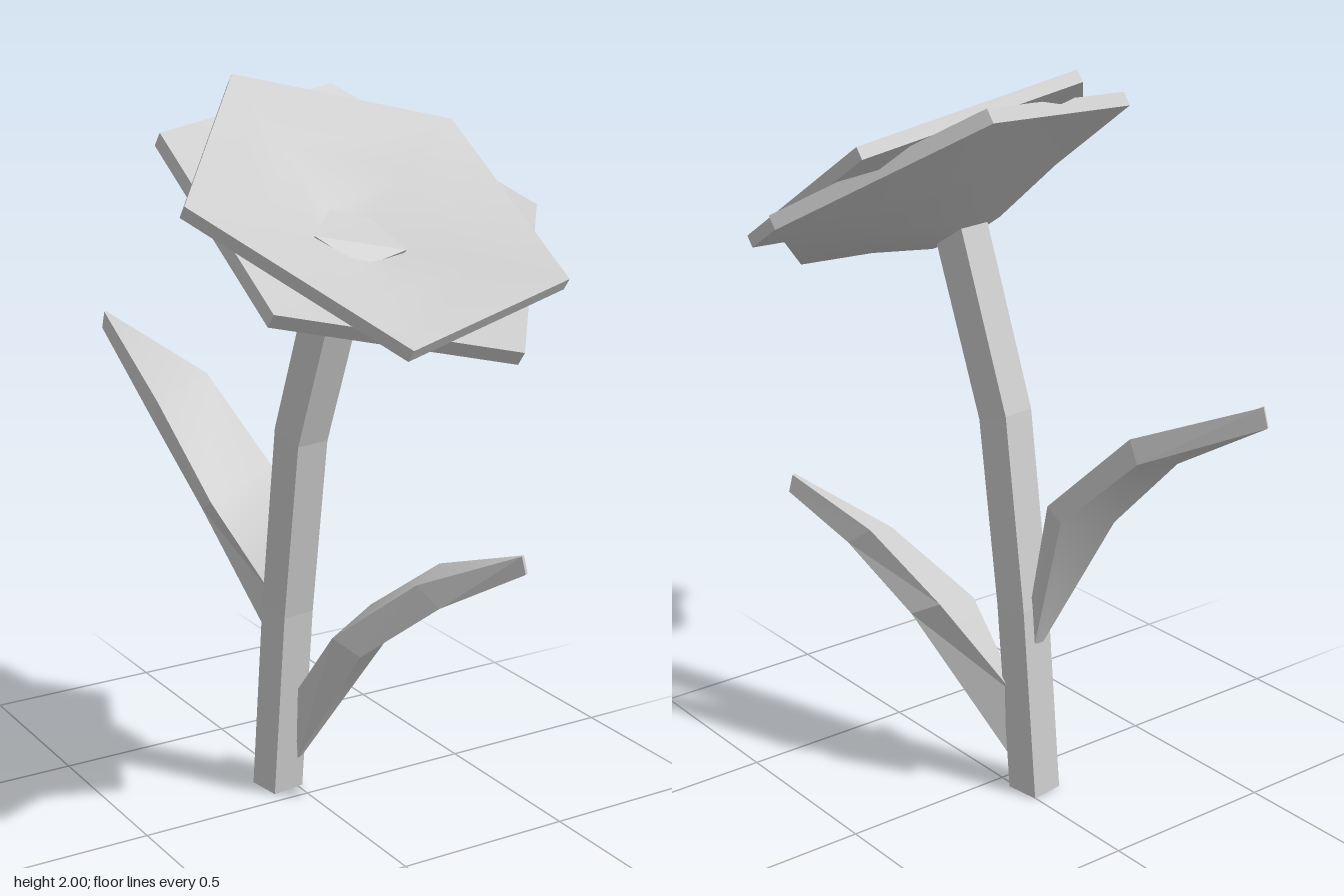
import * as THREE from 'three';
import { mergeGeometries } from 'three/addons/utils/BufferGeometryUtils.js';

const V = (p) => new THREE.Vector3(...p);

// Surface through rows of points; faces point along (row step) x (column step).
function sheet(rows, { closed = false, flat = false, flip = false } = {}) {
  const n = rows[0].length, index = [], spans = closed ? n : n - 1;
  for (let r = 0; r < rows.length - 1; r++) {
    for (let c = 0; c < spans; c++) {
      const a = r * n + c, d = r * n + (c + 1) % n, b = a + n, e = d + n;
      index.push(...(flip ? [a, d, b, d, e, b] : [a, b, d, d, b, e]));
    }
  }
  let g = new THREE.BufferGeometry().setFromPoints(rows.flat());
  g.setIndex(index);
  if (flat) g = g.toNonIndexed();
  g.computeVertexNormals();
  return flat ? g : g.toNonIndexed();
}

// Smooth upper and lower skins joined by a sharp wall around the rim.
function slab(top, bottom, rimOf, closed) {
  return mergeGeometries([
    sheet(top, { closed }),
    sheet(bottom, { closed, flip: true }),
    sheet([rimOf(bottom), rimOf(top)], { closed: true, flat: true }),
  ]);
}

const up = V([0.1, 1, 0.65]).normalize(); // direction the blossom faces

// Five-pointed dish sinking to a small flat middle.
function dish(rim, depth, thickness) {
  const pts = rim.map(V);
  const centre = pts.reduce((s, p) => s.add(p), new THREE.Vector3()).divideScalar(pts.length);
  const ring = (t, sink) => pts.map((p) => centre.clone().lerp(p, t).addScaledVector(up, -sink));
  const skin = (drop) => [[1, 0], [0.55, 0.5], [0.2, 1], [0, 1]].map(([t, d]) => ring(t, d * depth + drop));
  return slab(skin(0), skin(thickness), (s) => s[0], true);
}

// Leaf from cross-sections: [first edge, second edge, offset to the underside].
function leaf(sections) {
  const top = sections.map(([a, b]) => [V(a), V(b)]);
  const bottom = sections.map(([a, b, o]) => [V(a).add(V(o)), V(b).add(V(o))]);
  const rim = (s) => [...s.map((r) => r[1]), ...s.map((r) => r[0]).reverse()];
  return slab(top, bottom, rim, false);
}

// Square stem following a bent centre line, capped at both ends.
function stem(path, half, turn) {
  const corners = [[-1, -1], [1, -1], [1, 1], [-1, 1]];
  const axis = new THREE.Vector3(0, 1, 0);
  const rows = path.map(([x, y, z, tilt]) => corners.map(([cx, cz]) =>
    V([cx * half, 0, cz * half]).applyAxisAngle(axis, turn).add(V([x, y - cz * tilt, z]))));
  const cap = ([x, y, z]) => corners.map(() => V([x, y, z]));
  return sheet([cap(path[0]), ...rows, cap(path[path.length - 1])], { closed: true, flat: true });
}

// Faceted five-cornered centre of the blossom.
function hub(rim) {
  const top = rim.map(V);
  const bottom = top.map((p) => p.clone().addScaledVector(up, -0.04));
  const [a, ...rest] = top;
  return mergeGeometries([
    sheet([rest.map(() => a), rest], { flat: true, flip: true }),
    sheet([bottom, top], { closed: true, flat: true }),
  ]);
}

export function createModel() {
  const group = new THREE.Group();
  const grey = new THREE.MeshStandardMaterial({ color: 0xcccccc });
  grey.name = 'lightGrey';
  const add = (name, geometry) => {
    const mesh = new THREE.Mesh(geometry, grey);
    mesh.name = name;
    group.add(mesh);
  };

  add('stem', stem([
    [-0.04, 0.005, -0.095, 0],
    [-0.035, 0.55, -0.047, 0.005],
    [-0.047, 1.07, 0.047, 0.015],
    [-0.02, 1.56, 0.205, 0.02],
  ], 0.049, 0.14));

  // Blossom: two overlapping dishes and the centre
  add('lowerPetals', dish([
    [-0.44, 1.89, 0.04], [0.16, 1.95, -0.145], [0.53, 1.66, 0.27],
    [0.17, 1.41, 0.72], [-0.44, 1.55, 0.59],
  ], 0.14, 0.04));
  add('upperPetals', dish([
    [-0.165, 2.0, -0.095], [0.42, 1.86, 0.035], [0.42, 1.53, 0.56],
    [-0.165, 1.465, 0.75], [-0.53, 1.765, 0.335],
  ], 0.115, 0.035));
  add('blossomCentre', hub([
    [-0.14, 1.645, 0.27], [-0.04, 1.685, 0.175], [0.07, 1.655, 0.2],
    [0.095, 1.595, 0.32], [-0.045, 1.57, 0.34],
  ]));

  // Leaves
  add('frontLeaf', leaf([
    [[-0.02, 0.29, -0.04], [0.0, 0.29, -0.05], [0.01, -0.19, 0.005]],
    [[0.0, 0.515, 0.13], [0.16, 0.56, 0.07], [0.045, -0.04, 0.07]],
    [[0.14, 0.7, 0.32], [0.24, 0.73, 0.28], [0.03, -0.05, 0.065]],
    [[0.3, 0.825, 0.56], [0.31, 0.825, 0.555], [0.01, -0.05, 0.005]],
  ]));
  add('backLeaf', leaf([
    [[-0.03, 0.58, -0.09], [-0.06, 0.58, -0.09], [0, -0.13, -0.015]],
    [[0.015, 0.9, -0.21], [-0.195, 0.84, -0.18], [0, -0.03, -0.055]],
    [[-0.07, 1.13, -0.43], [-0.245, 1.08, -0.39], [0, -0.06, -0.03]],
    [[-0.23, 1.265, -0.735], [-0.238, 1.265, -0.73], [0, -0.05, -0.017]],
  ]));
  return group;
}
